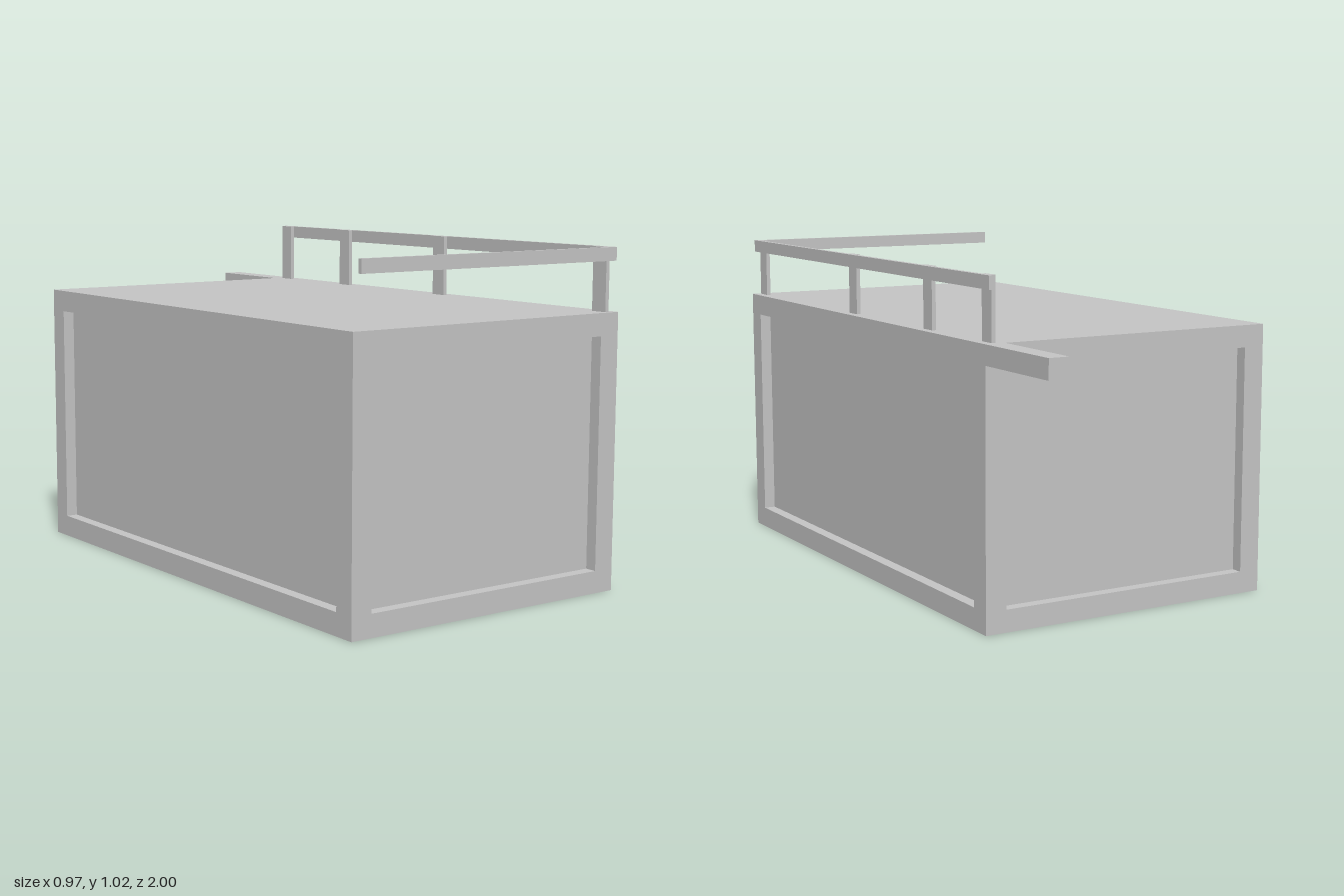
import * as THREE from 'three';

const X = 0.487, H = 0.835, BACK = -0.667, FRONT = 1;
const MARGIN = 0.068, DEPTH = 0.037;

// Geometry from a list of flat four-cornered faces (counter-clockwise)
function quads(list) {
  const pos = [];
  for (const [a, b, c, d] of list) pos.push(...a, ...b, ...c, ...a, ...c, ...d);
  const g = new THREE.BufferGeometry();
  g.setAttribute('position', new THREE.Float32BufferAttribute(pos, 3));
  g.computeVertexNormals();
  return g;
}

// Wall facing +z: border, reveal and sunken panel
function wall(name, width, mat) {
  const ring = (m, z) => {
    const w = width / 2 - m;
    return [[-w, m, z], [w, m, z], [w, H - m, z], [-w, H - m, z]];
  };
  const rings = [ring(0, 0), ring(MARGIN, 0), ring(MARGIN, -DEPTH)];
  const faces = [];
  for (let r = 0; r < 2; r++) {
    for (let i = 0; i < 4; i++) {
      const j = (i + 1) % 4;
      faces.push([rings[r][i], rings[r][j], rings[r + 1][j], rings[r + 1][i]]);
    }
  }
  faces.push(rings[2]);
  const mesh = new THREE.Mesh(quads(faces), mat);
  mesh.name = name;
  return mesh;
}

export function createModel() {
  const model = new THREE.Group();
  model.name = 'balconyBlock';
  const grey = new THREE.MeshStandardMaterial({ color: 0xc4c4c4 });
  grey.name = 'plain grey';

  // Box given by its minimum and maximum corners
  const bar = (name, x0, x1, y0, y1, z0, z1) => {
    const mesh = new THREE.Mesh(new THREE.BoxGeometry(x1 - x0, y1 - y0, z1 - z0), grey);
    mesh.position.set((x0 + x1) / 2, (y0 + y1) / 2, (z0 + z1) / 2);
    mesh.name = name;
    model.add(mesh);
  };

  // Four panelled walls
  const length = FRONT - BACK, mid = (FRONT + BACK) / 2;
  const walls = [
    ['frontWall', 2 * X, 0, FRONT, 0],
    ['leftWall', length, X, mid, Math.PI / 2],
    ['backWall', 2 * X, 0, BACK, Math.PI],
    ['rightWall', length, -X, mid, -Math.PI / 2],
  ];
  for (const [name, width, x, z, turn] of walls) {
    const w = wall(name, width, grey);
    w.position.set(x, 0, z);
    w.rotation.y = turn;
    model.add(w);
  }

  // Roof and floor
  for (const [name, y, turn] of [['roof', H, -Math.PI / 2], ['floor', 0, Math.PI / 2]]) {
    const slab = new THREE.Mesh(new THREE.PlaneGeometry(2 * X, length), grey);
    slab.position.set(0, y, mid);
    slab.rotation.x = turn;
    slab.name = name;
    model.add(slab);
  }

  // Beam projecting from the back corner
  bar('beam', 0.423, X, 0.775, H, -1, BACK);

  // Railing: posts inside the side rail, front rail across the end
  for (const z of [0.96, 0.23, -0.278, -0.628]) {
    bar('railPost', 0.447, 0.46, H, 1.025, z - 0.027, z + 0.027);
  }
  bar('sideRail', 0.46, 0.475, 0.985, 1.025, BACK, FRONT);
  bar('frontRail', -0.46, 0.46, 0.985, 1.025, 0.987, FRONT);

  return model;
}
